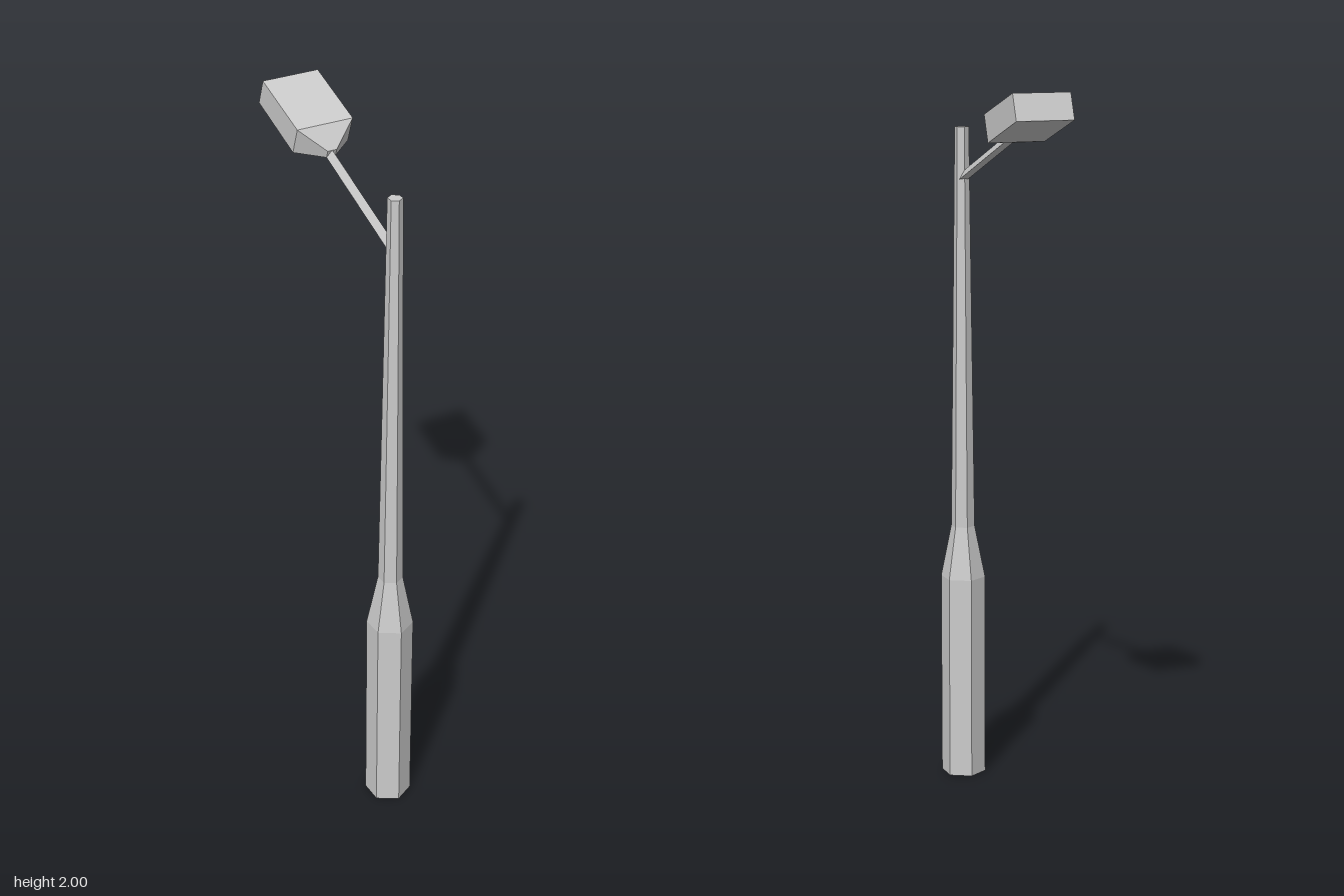
import * as THREE from 'three';

const POLE_Z = 0.259;

// Joins four-cornered rings (listed tail to tip) into a closed faceted solid
function loftQuads(rings) {
  const pos = [];
  const quad = (a, b, c, d) => [a, b, c, a, c, d].forEach((p) => pos.push(...p));
  for (let i = 0; i < rings.length - 1; i++) {
    const r = rings[i], s = rings[i + 1];
    for (let j = 0; j < 4; j++) {
      const k = (j + 1) % 4;
      quad(r[j], r[k], s[k], s[j]);
    }
  }
  const first = rings[0], last = rings[rings.length - 1];
  quad(first[3], first[2], first[1], first[0]);
  quad(last[0], last[1], last[2], last[3]);
  const geo = new THREE.BufferGeometry();
  geo.setAttribute('position', new THREE.Float32BufferAttribute(pos, 3));
  geo.computeVertexNormals();
  return geo;
}

// Ring of half width w from a lower to an upper edge, each given as [y, z];
// counter-clockwise as seen from behind (-z)
function ring(w, [y0, z0], [y1, z1]) {
  return [[w, y0, z0], [-w, y0, z0], [-w, y1, z1], [w, y1, z1]];
}

export function createModel() {
  const group = new THREE.Group();
  const material = new THREE.MeshStandardMaterial({ color: 0xcccccc, flatShading: true });
  const add = (name, geometry) => {
    const mesh = new THREE.Mesh(geometry, material);
    mesh.name = name;
    group.add(mesh);
    return mesh;
  };

  // Hexagonal pole: wide base, tapering collar, slim shaft
  const sections = [
    ['poleBase', 0, 0.59, 0.064, 0.064],
    ['poleCollar', 0.59, 0.74, 0.064, 0.034],
    ['poleShaft', 0.74, 1.88, 0.034, 0.02],
  ];
  for (const [name, y0, y1, r0, r1] of sections) {
    const open = name === 'poleCollar';
    const mesh = add(name, new THREE.CylinderGeometry(r1, r0, y1 - y0, 6, 1, open));
    mesh.position.set(0, (y0 + y1) / 2, POLE_Z);
  }

  // Thin three-sided arm, ridge upward, rising toward the back
  const start = new THREE.Vector3(0, 1.742, 0.247);
  const end = new THREE.Vector3(0, 1.865, -0.075);
  const arm = add('arm', new THREE.CylinderGeometry(0.015, 0.015, start.distanceTo(end), 3));
  arm.position.lerpVectors(start, end, 0.5);
  arm.rotation.x = -Math.atan2(start.z - end.z, end.y - start.y);

  // Lamp head: narrow neck flaring into a tilted box
  add('lampHead', loftQuads([
    ring(0.013, [1.857, -0.075], [1.877, -0.068]),
    ring(0.081, [1.863, -0.132], [1.936, -0.106]),
    ring(0.081, [1.93, -0.323], [2.0, -0.298]),
  ]));

  return group;
}
